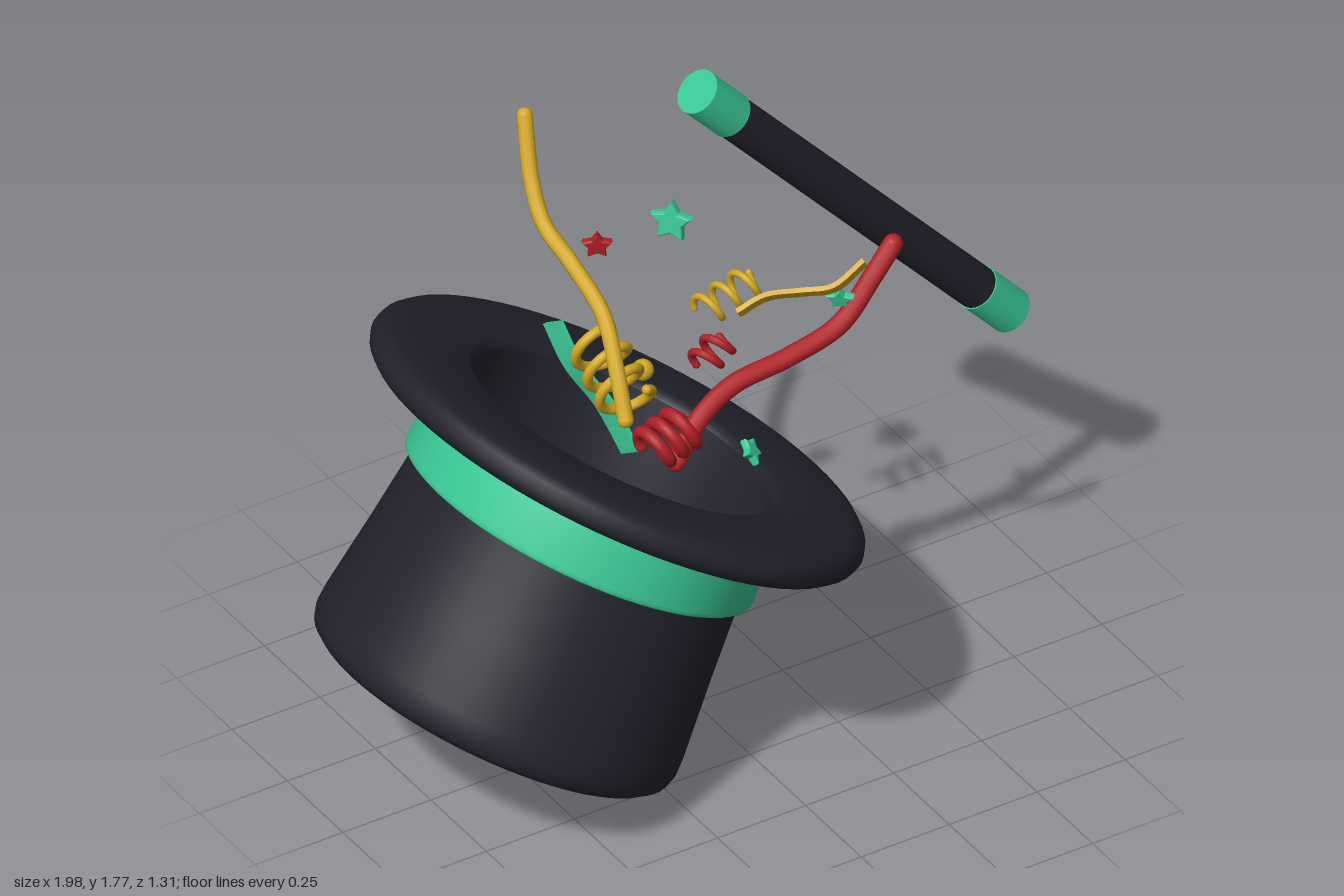
import * as THREE from 'three';
import { toCreasedNormals } from 'three/addons/utils/BufferGeometryUtils.js';

const V = (a) => new THREE.Vector3(...a);
const material = (name, color) => Object.assign(new THREE.MeshStandardMaterial({ color }), { name });

export function createModel() {
  const black = material('black felt', 0x22222d);
  const green = material('green satin', 0x3ac795);
  const red = material('red', 0xb02026);
  const gold = material('gold', 0xd3a822);

  const model = new THREE.Group();
  model.name = 'magicHat';

  const add = (name, geometry, mat, parent = model) => {
    const mesh = new THREE.Mesh(geometry, mat);
    mesh.name = name;
    parent.add(mesh);
    return mesh;
  };
  const lathe = (points, crease) => toCreasedNormals(
    new THREE.LatheGeometry(points.map(([r, y]) => new THREE.Vector2(r, y)), 72), crease);

  // Tube with round ends along a curve
  const tube = (name, curve, radius, mat, segments = 60) => {
    const group = new THREE.Group();
    group.name = name;
    add(name + 'Body', new THREE.TubeGeometry(curve, segments, radius, 10), mat, group);
    for (const t of [0, 1]) {
      add(name + 'End', new THREE.SphereGeometry(radius, 10, 8), mat, group).position.copy(curve.getPoint(t));
    }
    model.add(group);
  };
  const spline = (points) => new THREE.CatmullRomCurve3(points.map(V));

  // Helix around the line from a to b
  const coil = (name, a, b, radius, turns, thickness, mat, phase = 0) => {
    const start = V(a), axis = V(b).sub(start);
    const turn = new THREE.Quaternion().setFromUnitVectors(new THREE.Vector3(0, 0, 1), axis.clone().normalize());
    const points = [];
    const n = turns * 16;
    for (let i = 0; i <= n; i++) {
      const angle = phase + (i / 16) * Math.PI * 2;
      points.push(new THREE.Vector3(Math.cos(angle) * radius, Math.sin(angle) * radius, 0)
        .applyQuaternion(turn).add(start).addScaledVector(axis, i / n));
    }
    tube(name, new THREE.CatmullRomCurve3(points), thickness, mat, turns * 32);
  };

  // Flat ribbon: rectangular sections swept along a curve, with a fixed width direction
  const ribbon = (name, points, width, thickness, mat) => {
    const curve = spline(points), half = V(width).multiplyScalar(0.5);
    const n = 24, position = [], index = [];
    for (let i = 0; i <= n; i++) {
      const p = curve.getPoint(i / n);
      const up = curve.getTangent(i / n).cross(half).setLength(thickness / 2);
      for (const [s, t] of [[-1, -1], [1, -1], [1, 1], [-1, 1]]) {
        position.push(...p.clone().addScaledVector(half, s).addScaledVector(up, t).toArray());
      }
      if (i < n) {
        for (let k = 0; k < 4; k++) {
          const a = i * 4 + k, b = i * 4 + (k + 1) % 4;
          index.push(a, b, b + 4, a, b + 4, a + 4);
        }
      }
    }
    const e = n * 4;
    index.push(0, 2, 1, 0, 3, 2, e, e + 1, e + 2, e, e + 2, e + 3);
    const geometry = new THREE.BufferGeometry();
    geometry.setAttribute('position', new THREE.Float32BufferAttribute(position, 3));
    geometry.setIndex(index);
    add(name, toCreasedNormals(geometry, 0.8), mat);
  };

  // Puffy five-pointed star facing along a normal
  const star = (name, at, radius, normal, mat) => {
    const shape = new THREE.Shape();
    for (let i = 0; i < 10; i++) {
      const r = radius * (i % 2 ? 0.45 : 0.85), a = Math.PI / 2 + i * Math.PI / 5;
      shape[i ? 'lineTo' : 'moveTo'](r * Math.cos(a), r * Math.sin(a));
    }
    shape.closePath();
    const geometry = new THREE.ExtrudeGeometry(shape, {
      depth: radius * 0.2, bevelThickness: radius * 0.18, bevelSize: radius * 0.12, bevelSegments: 3,
    });
    geometry.translate(0, 0, -radius * 0.1);
    const mesh = add(name, geometry, mat);
    mesh.position.set(...at);
    mesh.lookAt(V(at).add(V(normal)));
  };

  // Tilted upturned hat; its local origin is the middle of the brim
  const hat = new THREE.Group();
  hat.name = 'hat';
  hat.position.set(-0.22, 0.88, 0);
  hat.rotation.z = -Math.PI / 6;
  model.add(hat);
  add('hatCrown', lathe([
    [0, -0.735], [0.42, -0.735], [0.45, -0.729], [0.472, -0.712], [0.48, -0.685], [0.478, -0.64],
    [0.455, -0.44], [0.434, -0.23], [0.425, -0.03],
  ], 0.9), black, hat);
  add('hatBrim', lathe([
    [0.41, -0.04], [0.605, -0.042], [0.63, -0.036], [0.648, -0.02], [0.655, 0], [0.648, 0.022],
    [0.63, 0.038], [0.605, 0.044], [0.42, 0.044], [0.405, 0.038], [0.398, 0.022],
  ], 0.9), black, hat);
  add('hatLining', lathe([
    [0.398, 0.022], [0.4, -0.2], [0.44, -0.64], [0.42, -0.67], [0, -0.67],
  ], 0.7), black, hat);
  add('hatBand', lathe([
    [0.42, -0.222], [0.452, -0.222], [0.461, -0.217], [0.463, -0.205], [0.442, -0.035],
  ], 0.9), green, hat);

  // Wand
  const top = new THREE.Vector3(0.064, 1.755, -0.09), bottom = new THREE.Vector3(0.953, 0.765, -0.09);
  const length = top.distanceTo(bottom);
  const wand = new THREE.Group();
  wand.name = 'wand';
  wand.position.copy(top).add(bottom).multiplyScalar(0.5);
  wand.quaternion.setFromUnitVectors(new THREE.Vector3(0, 1, 0), top.clone().sub(bottom).normalize());
  model.add(wand);
  add('wandRod', new THREE.CylinderGeometry(0.055, 0.055, length - 0.28, 32), black, wand);
  for (const s of [-1, 1]) {
    add('wandTip', new THREE.CylinderGeometry(0.058, 0.058, 0.142, 32), green, wand)
      .position.y = s * (length / 2 - 0.071);
  }

  // Streamers
  tube('goldStreamer', spline([
    [-0.31, 1.09, 0.18], [-0.295, 1.18, 0.12], [-0.273, 1.29, 0.02], [-0.28, 1.365, -0.11],
    [-0.29, 1.42, -0.22], [-0.278, 1.5, -0.295], [-0.25, 1.635, -0.37],
  ]), 0.02, gold);
  tube('redStreamer', spline([
    [-0.13, 0.86, 0.12], [-0.05, 0.945, 0.1], [0.05, 1.0, 0.09], [0.2, 1.035, 0.105],
    [0.34, 1.085, 0.115], [0.44, 1.175, 0.1], [0.51, 1.24, 0.085],
  ]), 0.025, red);

  // Ribbons
  ribbon('goldRibbon', [
    [-0.01, 1.31, 0.21], [0.06, 1.34, 0.225], [0.14, 1.348, 0.265], [0.2, 1.365, 0.31], [0.275, 1.425, 0.33],
  ], [-0.03, 0.045, 0.035], 0.012, gold);
  ribbon('greenRibbon', [
    [-0.28, 1.14, -0.195], [-0.265, 1.05, -0.125], [-0.22, 0.96, -0.06], [-0.19, 0.85, 0.015],
  ], [0.012, 0.035, 0.055], 0.012, green);

  // Coils
  coil('goldCoil', [-0.255, 1.165, -0.05], [-0.26, 1.08, 0.12], 0.062, 3, 0.013, gold, 1);
  coil('redCoil', [-0.21, 0.93, 0.13], [-0.1, 0.97, 0.13], 0.05, 3, 0.016, red);
  coil('smallRedCoil', [-0.095, 1.17, 0.18], [-0.02, 1.215, 0.165], 0.036, 2, 0.01, red);
  coil('smallGoldCoil', [0.07, 1.105, -0.08], [0.225, 1.15, -0.08], 0.038, 3, 0.009, gold);

  // Confetti
  add('goldBall', new THREE.SphereGeometry(0.027, 20, 14), gold).position.set(-0.135, 1.05, -0.02);
  star('redStar', [-0.183, 1.36, -0.15], 0.038, [0.5, 0.1, -0.85], red);
  star('greenStarLarge', [0.01, 1.375, -0.12], 0.054, [0.75, -0.15, -0.65], green);
  star('greenStarSide', [0.35, 1.15, 0.1], 0.036, [0.6, 0.3, -0.7], green);
  star('greenStarLow', [0.04, 0.87, 0.19], 0.036, [0.6, 0.55, 0.55], green);

  return model;
}
